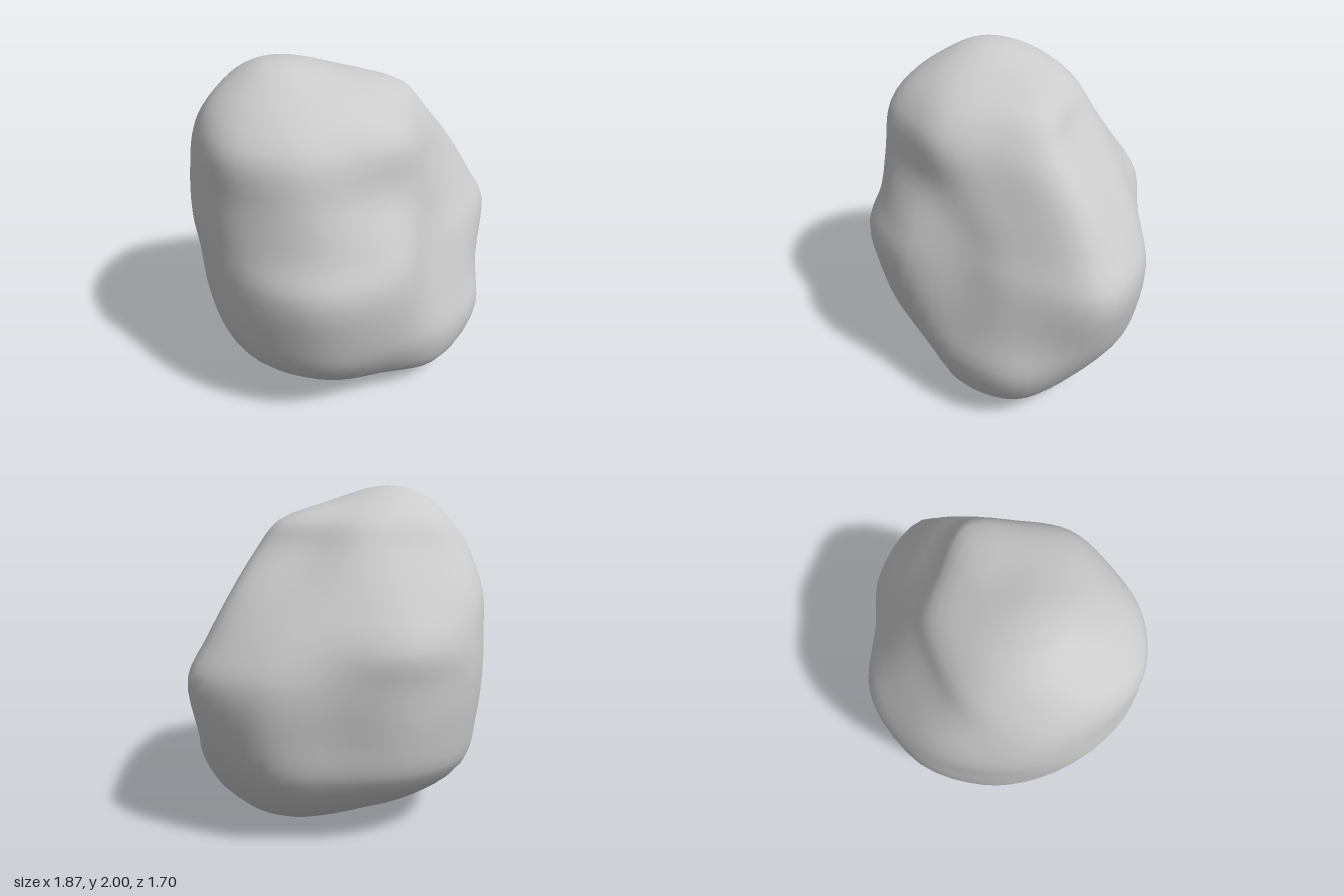
import * as THREE from 'three';
import { mergeVertices } from 'three/addons/utils/BufferGeometryUtils.js';

const SPOKES = 12, ROWS = 48, COLUMNS = 60;

// Round section, used for the crown
const ring = (y, x, radius) => ({ y, x, z: 0, r: Array(SPOKES).fill(radius) });

// Horizontal sections of the boulder, from the ground up: height, centre x, centre z,
// and radii every 30 degrees, starting at +x and turning towards the front (+z).
const sections = [
  { y: 0.02, x: 0, z: 0.03, r: [0.44, 0.46, 0.3, 0.2, 0.28, 0.42, 0.48, 0.36, 0.24, 0.2, 0.22, 0.32] },
  { y: 0.15, x: 0, z: 0, r: [0.61, 0.71, 0.67, 0.56, 0.59, 0.64, 0.68, 0.61, 0.52, 0.44, 0.46, 0.55] },
  { y: 0.4, x: 0, z: 0, r: [0.78, 0.83, 0.75, 0.73, 0.82, 0.86, 0.84, 0.84, 0.82, 0.74, 0.68, 0.75] },
  { y: 0.65, x: 0, z: 0, r: [0.88, 0.78, 0.7, 0.79, 0.9, 0.93, 0.9, 0.89, 0.88, 0.8, 0.71, 0.82] },
  { y: 0.95, x: 0, z: 0, r: [0.93, 0.71, 0.62, 0.8, 0.94, 0.95, 0.92, 0.91, 0.91, 0.82, 0.73, 0.84] },
  { y: 1.15, x: 0, z: 0, r: [0.82, 0.62, 0.57, 0.73, 0.85, 0.93, 0.94, 0.91, 0.9, 0.83, 0.7, 0.75] },
  { y: 1.4, x: -0.1, z: 0, r: [0.76, 0.6, 0.59, 0.64, 0.76, 0.82, 0.82, 0.82, 0.8, 0.69, 0.63, 0.64] },
  { y: 1.65, x: -0.2, z: 0.05, r: [0.65, 0.56, 0.57, 0.56, 0.63, 0.69, 0.68, 0.68, 0.65, 0.57, 0.57, 0.54] },
  { y: 1.8, x: -0.25, z: 0.03, r: [0.57, 0.49, 0.48, 0.46, 0.5, 0.54, 0.55, 0.52, 0.51, 0.47, 0.47, 0.47] },
  ring(1.92, -0.36, 0.29),
  ring(1.985, -0.4, 0.12),
];

function boulderGeometry() {
  // Smooth curves running from the underside to the crown
  const meridians = [];
  for (let k = 0; k < SPOKES; k++) {
    const a = (k / SPOKES) * Math.PI * 2;
    const points = sections.map(s =>
      new THREE.Vector3(s.x + s.r[k] * Math.cos(a), s.y, s.z + s.r[k] * Math.sin(a)));
    points.unshift(new THREE.Vector3(-0.02, 0.015, 0.03));
    points.push(new THREE.Vector3(-0.4, 2, 0.01));
    meridians.push(new THREE.CatmullRomCurve3(points));
  }

  // Closed loops across the meridians
  const positions = [], index = [];
  for (let i = 0; i <= ROWS; i++) {
    const loop = new THREE.CatmullRomCurve3(meridians.map(m => m.getPoint(i / ROWS)), true);
    for (let j = 0; j < COLUMNS; j++) {
      const p = loop.getPoint(j / COLUMNS);
      positions.push(p.x, Math.max(p.y, 0), p.z);
    }
  }
  for (let i = 0; i < ROWS; i++) {
    for (let j = 0; j < COLUMNS; j++) {
      const a = i * COLUMNS + j, b = i * COLUMNS + (j + 1) % COLUMNS;
      const c = a + COLUMNS, d = b + COLUMNS;
      if (i > 0) index.push(a, c, b);
      if (i < ROWS - 1) index.push(b, c, d);
    }
  }
  const geometry = new THREE.BufferGeometry();
  geometry.setAttribute('position', new THREE.Float32BufferAttribute(positions, 3));
  geometry.setIndex(index);
  const merged = mergeVertices(geometry);
  merged.computeVertexNormals();
  return merged;
}

export function createModel() {
  const group = new THREE.Group();
  group.name = 'rock';
  const boulder = new THREE.Mesh(boulderGeometry(), new THREE.MeshStandardMaterial({ color: 0xcccccc }));
  boulder.name = 'boulder';
  group.add(boulder);
  return group;
}
